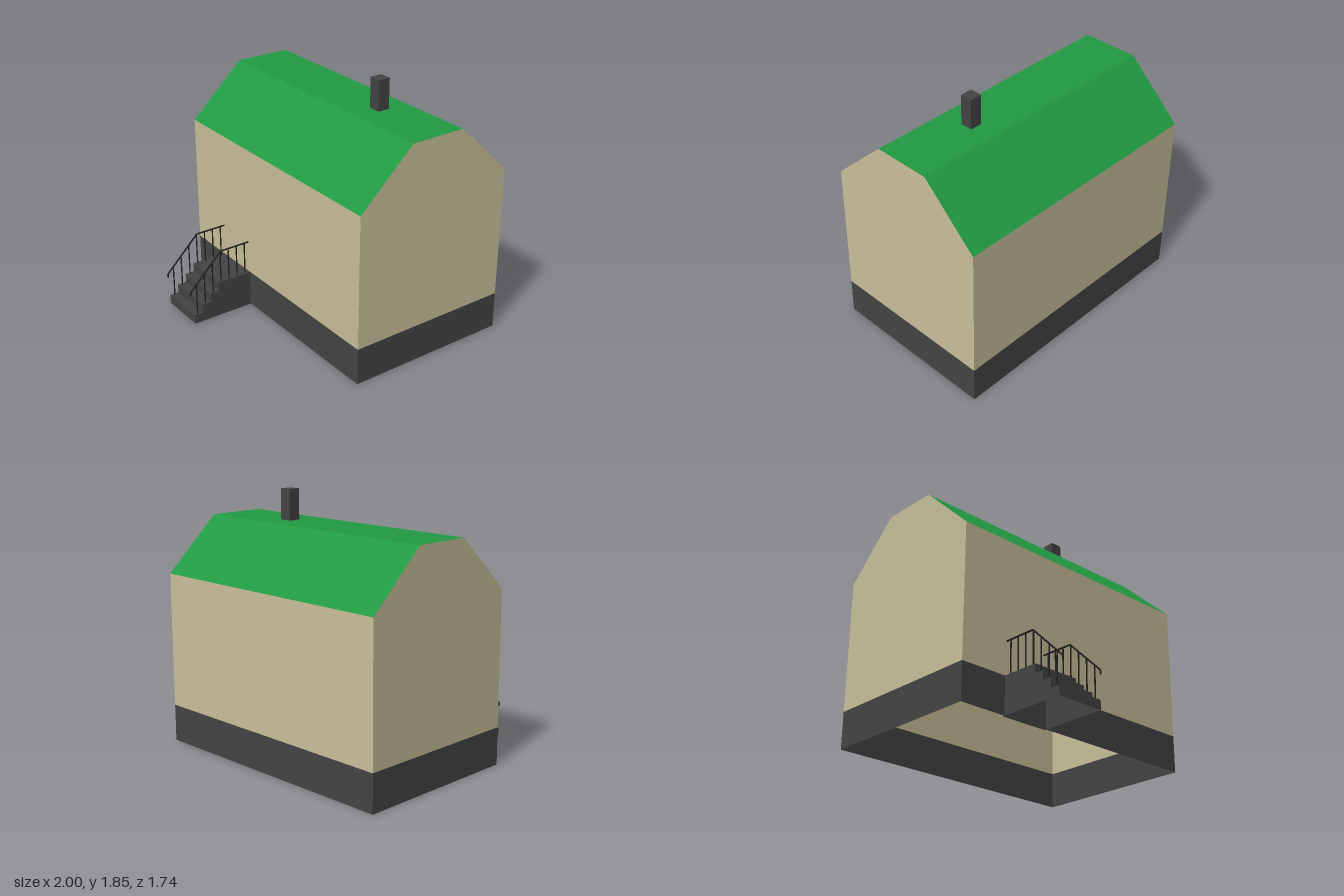
import * as THREE from 'three';

const paint = (color) => new THREE.MeshStandardMaterial({ color, side: THREE.DoubleSide });
const stone = paint(0x444444);
const plaster = paint(0xc9c09a);
const green = paint(0x229a42);
const iron = paint(0x222222);

function add(parent, name, geometry, material) {
  const mesh = new THREE.Mesh(geometry, material);
  mesh.name = name;
  parent.add(mesh);
  return mesh;
}

// Sheet swept along x from a [z, y] profile that runs front to back
function sheet(profile, x0, x1) {
  const pos = [];
  for (let i = 0; i < profile.length - 1; i++) {
    const [za, ya] = profile[i];
    const [zb, yb] = profile[i + 1];
    pos.push(x0, ya, za, x1, ya, za, x1, yb, zb, x0, ya, za, x1, yb, zb, x0, yb, zb);
  }
  const g = new THREE.BufferGeometry();
  g.setAttribute('position', new THREE.Float32BufferAttribute(pos, 3));
  g.computeVertexNormals();
  return g;
}

// Flat end panel with a [z, y] outline, facing -x or +x
function endPanel(outline, x, side) {
  const shape = new THREE.Shape(outline.map(([z, y]) => new THREE.Vector2(z, y)));
  const g = new THREE.ShapeGeometry(shape);
  g.rotateY(-Math.PI / 2);
  if (side > 0) {
    g.setIndex(Array.from(g.index.array).reverse());
    g.computeVertexNormals();
  }
  return g.translate(x, 0, 0);
}

export function createModel() {
  const house = new THREE.Group();
  house.name = 'house';

  const front = 0.37, back = -0.87, baseTop = 0.27, eaves = 1.245, top = 1.63;
  const roofProfile = [[front, eaves], [-0.04, top], [-0.46, top], [back, eaves]];

  // Open-bottomed foundation and walls
  for (const [name, y0, y1, material] of [
    ['foundation', 0, baseTop, stone], ['wall', baseTop, eaves, plaster]]) {
    add(house, name + 'Front', sheet([[front, y0], [front, y1]], -1, 1), material);
    add(house, name + 'Back', sheet([[back, y1], [back, y0]], -1, 1), material);
  }
  for (const side of [-1, 1]) {
    const label = side > 0 ? 'Left' : 'Right';
    add(house, 'foundation' + label,
      endPanel([[front, 0], [front, baseTop], [back, baseTop], [back, 0]], side, side), stone);
    add(house, 'gable' + label,
      endPanel([[front, baseTop], ...roofProfile, [back, baseTop]], side, side), plaster);
  }

  // Roof and chimney
  add(house, 'roof', sheet(roofProfile, -1, 1), green);
  add(house, 'chimney', new THREE.BoxGeometry(0.09, 0.22, 0.09), stone)
    .position.set(0.4, 1.74, -0.255);

  // Entrance steps, hollow underneath
  const steps = new THREE.Group();
  steps.name = 'entranceSteps';
  house.add(steps);
  const stepProfile = [];
  const rise = baseTop / 4, run = 0.069;
  for (let i = 0; i < 4; i++) {
    const z = 0.85 - i * run;
    stepProfile.push([z, i * rise], [z, (i + 1) * rise]);
  }
  stepProfile.push([0.355, baseTop], [0.355, 0]);
  add(steps, 'treads', sheet(stepProfile, -0.645, -0.285), stone);
  add(steps, 'stepSideRight', endPanel(stepProfile, -0.645, -1), stone);
  add(steps, 'stepSideLeft', endPanel(stepProfile, -0.285, 1), stone);

  // Handrails with balusters
  for (const x of [-0.63, -0.3]) {
    const railing = new THREE.Group();
    railing.name = 'railing';
    railing.position.x = x;
    steps.add(railing);
    const points = [[0.868, 0.23], [0.868, 0.258], [0.608, 0.513], [0.35, 0.513]]
      .map(([z, y]) => new THREE.Vector3(0, y, z));
    const path = new THREE.CurvePath();
    for (let i = 0; i < 3; i++) path.add(new THREE.LineCurve3(points[i], points[i + 1]));
    add(railing, 'handrail', new THREE.TubeGeometry(path, 60, 0.006, 8, false), iron);
    for (let i = 0; i < 7; i++) {
      const z = 0.82 - i * run;
      const y0 = Math.min(i + 1, 4) * rise;
      const y1 = Math.min(0.513, 0.258 + (0.868 - z) * 0.98);
      add(railing, 'baluster', new THREE.CylinderGeometry(0.005, 0.005, y1 - y0, 8), iron)
        .position.set(0, (y0 + y1) / 2, z);
    }
  }
  return house;
}
